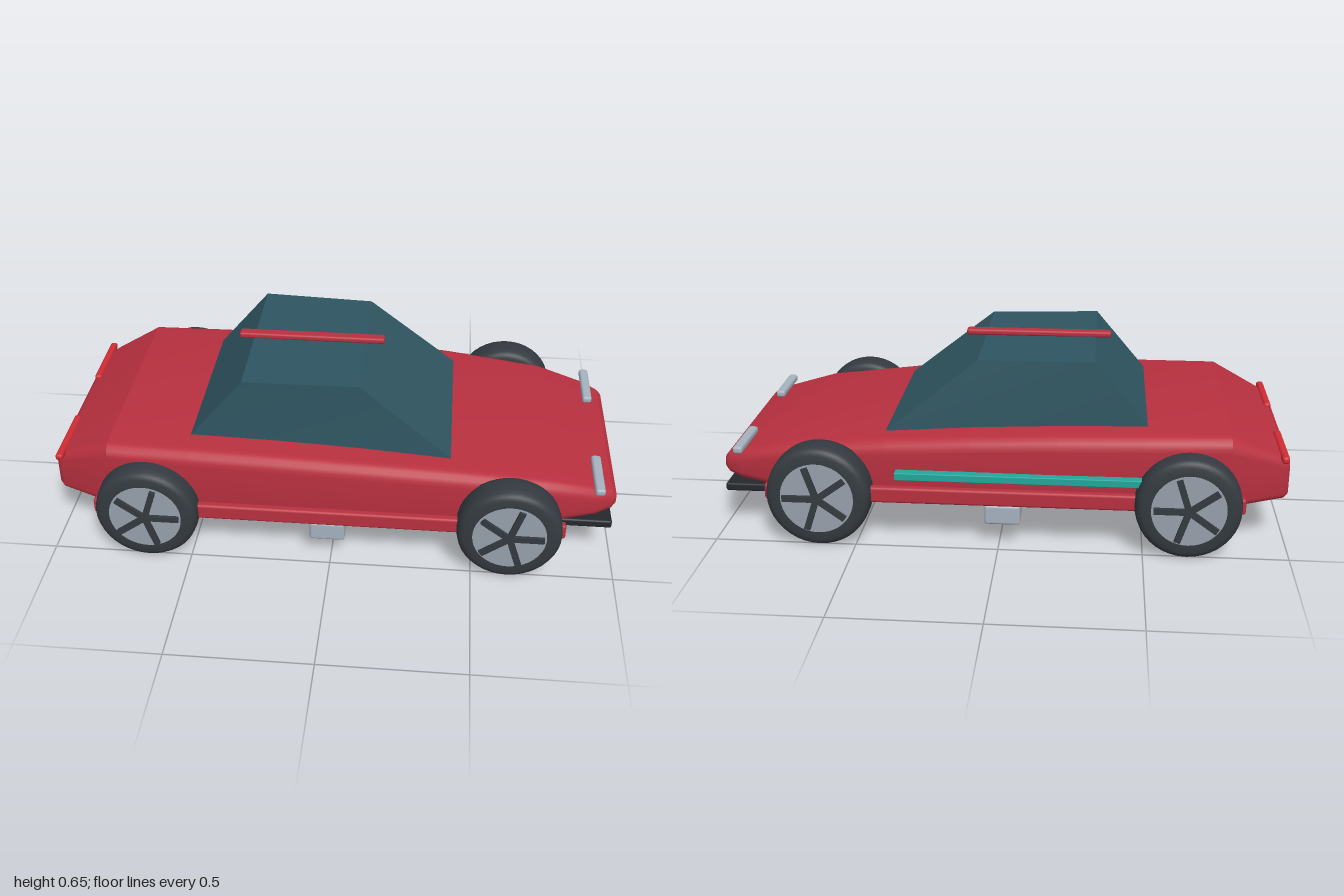
import * as THREE from 'three';
import { toCreasedNormals } from 'three/addons/utils/BufferGeometryUtils.js';
import { RoundedBoxGeometry } from 'three/addons/geometries/RoundedBoxGeometry.js';

const material = (name, color) => {
  const m = new THREE.MeshStandardMaterial({ color });
  m.name = name;
  return m;
};

// Lofts rounded-rectangle sections [x, bottom, top, halfWidth, topRadius, bottomRadius] along x
function loftBody(sections, steps = 5) {
  const pos = [], idx = [], n = 4 * (steps + 1);
  for (const [x, y0, y1, w, rt, rb] of sections) {
    for (let c = 0; c < 4; c++) {
      const r = c < 2 ? rt : rb;
      const cz = (c === 0 || c === 3 ? -1 : 1) * (w - r);
      const cy = c < 2 ? y1 - r : y0 + r;
      for (let s = 0; s <= steps; s++) {
        const a = (c + s / steps) * Math.PI / 2;
        pos.push(x, cy + r * Math.sin(a), cz - r * Math.cos(a));
      }
    }
  }
  for (let i = 0; i < sections.length - 1; i++) {
    for (let j = 0; j < n; j++) {
      const a = i * n + j, b = i * n + (j + 1) % n;
      idx.push(a, b, a + n, b, b + n, a + n);
    }
  }
  // end caps
  const last = (sections.length - 1) * n;
  for (let j = 1; j < n - 1; j++) {
    idx.push(0, j + 1, j, last, last + j, last + j + 1);
  }
  const g = new THREE.BufferGeometry();
  g.setAttribute('position', new THREE.Float32BufferAttribute(pos, 3));
  g.setIndex(idx);
  return toCreasedNormals(g, 0.4);
}

export function createModel() {
  const car = new THREE.Group();
  car.name = 'car';
  const paint = material('red paint', 0xb8303f);
  const glass = material('tinted glass', 0x2f5561);
  const rubber = material('tyre rubber', 0x343a40);
  const under = material('underbody black', 0x24282c);
  const silver = material('silver', 0xa6b2be);
  const alloy = material('wheel alloy', 0x97a0ab);
  const tail = material('tail light red', 0xd02c33);
  const teal = material('teal trim', 0x22a79c);

  const add = (parent, name, geometry, mat) => {
    const m = new THREE.Mesh(geometry, mat);
    m.name = name;
    parent.add(m);
    return m;
  };
  // Rounded box given by its extents on each axis
  const block = (name, mat, [x0, x1], [y0, y1], [z0, z1], r = 0.008) => {
    const g = new RoundedBoxGeometry(x1 - x0, y1 - y0, z1 - z0, 3, r);
    add(car, name, g, mat).position.set((x0 + x1) / 2, (y0 + y1) / 2, (z0 + z1) / 2);
  };

  // Wedge body
  add(car, 'body', loftBody([
    [-1.0, 0.18, 0.305, 0.355, 0.03, 0.02],
    [-0.985, 0.168, 0.322, 0.37, 0.035, 0.025],
    [-0.79, 0.158, 0.415, 0.445, 0.05, 0.03],
    [-0.5, 0.155, 0.412, 0.455, 0.05, 0.03],
    [-0.2, 0.155, 0.404, 0.457, 0.05, 0.03],
    [0.1, 0.155, 0.39, 0.453, 0.05, 0.03],
    [0.4, 0.155, 0.368, 0.438, 0.05, 0.03],
    [0.75, 0.158, 0.332, 0.412, 0.045, 0.03],
    [0.93, 0.178, 0.287, 0.375, 0.04, 0.03],
    [0.985, 0.19, 0.267, 0.35, 0.035, 0.03],
    [1.0, 0.205, 0.25, 0.333, 0.02, 0.02],
  ]), paint);

  // Glass cabin: a box tapered toward the roof
  const cabin = new THREE.BoxGeometry(2, 2, 2);
  const p = cabin.attributes.position;
  for (let i = 0; i < p.count; i++) {
    const front = p.getX(i) > 0, top = p.getY(i) > 0, side = Math.sign(p.getZ(i));
    if (top) p.setXYZ(i, front ? 0.085 : -0.32, front ? 0.63 : 0.636, side * (front ? 0.308 : 0.324));
    else p.setXYZ(i, front ? 0.412 : -0.51, front ? 0.367 : 0.41, side * 0.331);
  }
  add(car, 'cabin', toCreasedNormals(cabin, 0.2), glass);

  block('roofRail', paint, [-0.375, 0.155], [0.632, 0.654], [-0.02, 0.02]);

  // Underbody and front lip
  block('floor', under, [-0.83, 0.82], [0.113, 0.16], [-0.375, 0.375]);
  block('frontLip', under, [0.76, 0.99], [0.138, 0.168], [-0.385, 0.385]);

  // Undercarriage blocks
  for (const z of [-0.415, 0, 0.415]) {
    block('undercarriageBlock', silver, [-0.075, 0.05], [0.083, 0.155], [z - 0.058, z + 0.058], 0.01);
  }

  // Paired sills and lights
  const pair = (name, mat, xs, ys, [z0, z1], r) => {
    block(name + 'Left', mat, xs, ys, [z0, z1], r);
    block(name + 'Right', mat, xs, ys, [-z1, -z0], r);
  };
  pair('sill', paint, [-0.845, 0.82], [0.157, 0.215], [0.453, 0.485], 0.01);
  pair('headlight', silver, [0.915, 0.95], [0.288, 0.315], [0.188, 0.402], 0.01);
  pair('tailLight', tail, [-0.992, -0.965], [0.313, 0.339], [0.136, 0.4], 0.01);

  block('sideTrim', teal, [-0.5, 0.36], [0.245, 0.272], [-0.486, -0.45], 0.003);

  // Wheels, with local +z pointing outward
  const tyreProfile = [
    [0.126, -0.06], [0.158, -0.06], [0.172, -0.054], [0.18, -0.042], [0.183, -0.02],
    [0.183, 0.02], [0.18, 0.042], [0.172, 0.054], [0.158, 0.06], [0.126, 0.06],
  ].map(([r, y]) => new THREE.Vector2(r, y));
  const tyreGeo = toCreasedNormals(new THREE.LatheGeometry(tyreProfile, 40).rotateX(Math.PI / 2), 0.6);
  const rimGeo = new THREE.CylinderGeometry(0.128, 0.128, 0.122, 40).rotateX(Math.PI / 2);
  const spokeGeo = new THREE.BoxGeometry(0.118, 0.022, 0.016).translate(0.061, 0, 0.064);
  for (const side of [1, -1]) {
    for (const [end, x] of [['front', 0.625], ['rear', -0.65]]) {
      const wheel = new THREE.Group();
      wheel.name = end + (side > 0 ? 'LeftWheel' : 'RightWheel');
      wheel.position.set(x, 0.185, side * 0.466);
      if (side < 0) wheel.rotation.x = Math.PI;
      add(wheel, 'tyre', tyreGeo, rubber);
      add(wheel, 'rim', rimGeo, alloy);
      for (let i = 0; i < 5; i++) {
        add(wheel, 'spoke', spokeGeo, rubber).rotation.z = i * Math.PI * 2 / 5;
      }
      car.add(wheel);
    }
  }
  return car;
}
